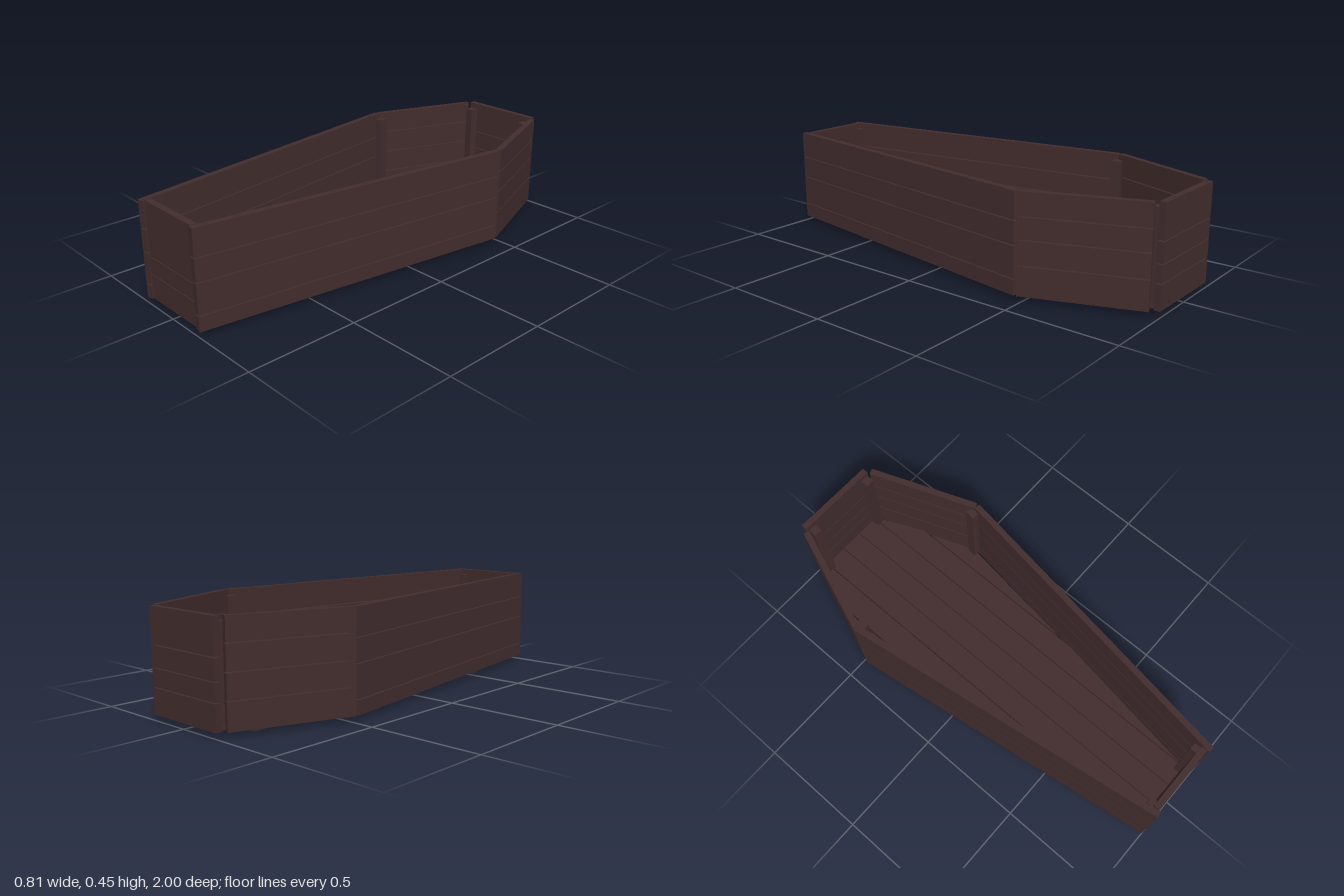
import * as THREE from 'three';

const wood = new THREE.MeshStandardMaterial({ color: 0x432d2e });
wood.name = 'darkWood';

const BOTTOM = 0.022, TOP = 0.45, THICK = 0.028;

function box(name, w, h, d, x, y, z, ry = 0) {
  const mesh = new THREE.Mesh(new THREE.BoxGeometry(w, h, d), wood);
  mesh.name = name;
  mesh.position.set(x, y, z);
  mesh.rotation.y = ry;
  return mesh;
}

// A wall of stacked boards along the centreline a-b ([x, z]), split at the seam heights
function plankWall(name, a, b, seams, gap = 0.005) {
  const wall = new THREE.Group();
  wall.name = name;
  const dx = b[0] - a[0], dz = b[1] - a[1];
  const edges = [BOTTOM, ...seams, TOP];
  for (let i = 0; i < edges.length - 1; i++) {
    const y0 = edges[i] + (i > 0 ? gap / 2 : 0);
    const y1 = edges[i + 1] - (i < edges.length - 2 ? gap / 2 : 0);
    wall.add(box(name + 'Board', Math.hypot(dx, dz), y1 - y0, THICK,
      (a[0] + b[0]) / 2, (y0 + y1) / 2, (a[1] + b[1]) / 2, -Math.atan2(dz, dx)));
  }
  return wall;
}

// A floor board cut to a flat outline of [x, z] corners
function floorBoard(points) {
  const shape = new THREE.Shape(points.map(([x, z]) => new THREE.Vector2(x, -z)));
  const geo = new THREE.ExtrudeGeometry(shape, { depth: 0.024, bevelEnabled: false });
  geo.rotateX(-Math.PI / 2);
  const mesh = new THREE.Mesh(geo, wood);
  mesh.name = 'floorBoard';
  mesh.position.y = BOTTOM;
  return mesh;
}

export function createModel() {
  const model = new THREE.Group();
  model.name = 'openCoffin';

  // End walls
  model.add(plankWall('footWall', [-0.16, 0.972], [0.16, 0.972], [0.132, 0.21]));
  model.add(plankWall('headWall', [-0.197, -0.986], [0.193, -0.983], [0.132, 0.21, 0.3]));

  // Side walls, shoulder walls and inner corner posts, mirrored
  for (const s of [1, -1]) {
    const side = s > 0 ? 'left' : 'right';
    model.add(plankWall(side + 'LongWall', [s * 0.391, -0.471], [s * 0.175, 0.997],
      [s > 0 ? 0.09 : 0.085, 0.228, 0.33]));
    model.add(plankWall(side + 'ShoulderWall', [s * 0.39, -0.477], [s * 0.208, -0.96],
      s > 0 ? [0.15, 0.255, 0.35] : [0.137, 0.243, 0.35]));

    const posts = [[0.146, 0.944, 0, 0.03], [0.366, -0.474, -0.1, 0.045], [0.168, -0.95, 0.1, 0.04]];
    for (const [x, z, ry, w] of posts)
      model.add(box('cornerPost', w, 0.38, w, s * x, 0.235, z, s * ry));
  }

  // Floor: three full boards, then two tapered boards on each side
  for (const x of [-0.111, 0, 0.111])
    model.add(floorBoard([[x - 0.053, -0.97], [x + 0.053, -0.97], [x + 0.053, 0.96], [x - 0.053, 0.96]]));

  const backZ = x => -0.96 + (x - 0.192) * 2.65;
  const frontZ = x => 0.96 - (x - 0.169) * 6.8;
  for (const s of [1, -1]) {
    const cuts = [
      [[0.17, backZ(0.185)], [0.277, backZ(0.277)], [0.277, frontZ(0.277)], [0.17, frontZ(0.17)]],
      [[0.284, backZ(0.293)], [0.362, -0.485], [0.362, -0.46], [0.284, frontZ(0.292)]],
    ];
    for (const c of cuts) model.add(floorBoard(c.map(([x, z]) => [s * x, z])));
  }

  // Cross battens underneath
  for (const [z, half] of [[0.54, 0.218], [-0.44, 0.342], [-0.81, 0.218]])
    model.add(box('floorBatten', half * 2, BOTTOM, 0.058, 0, BOTTOM / 2, z));

  return model;
}
